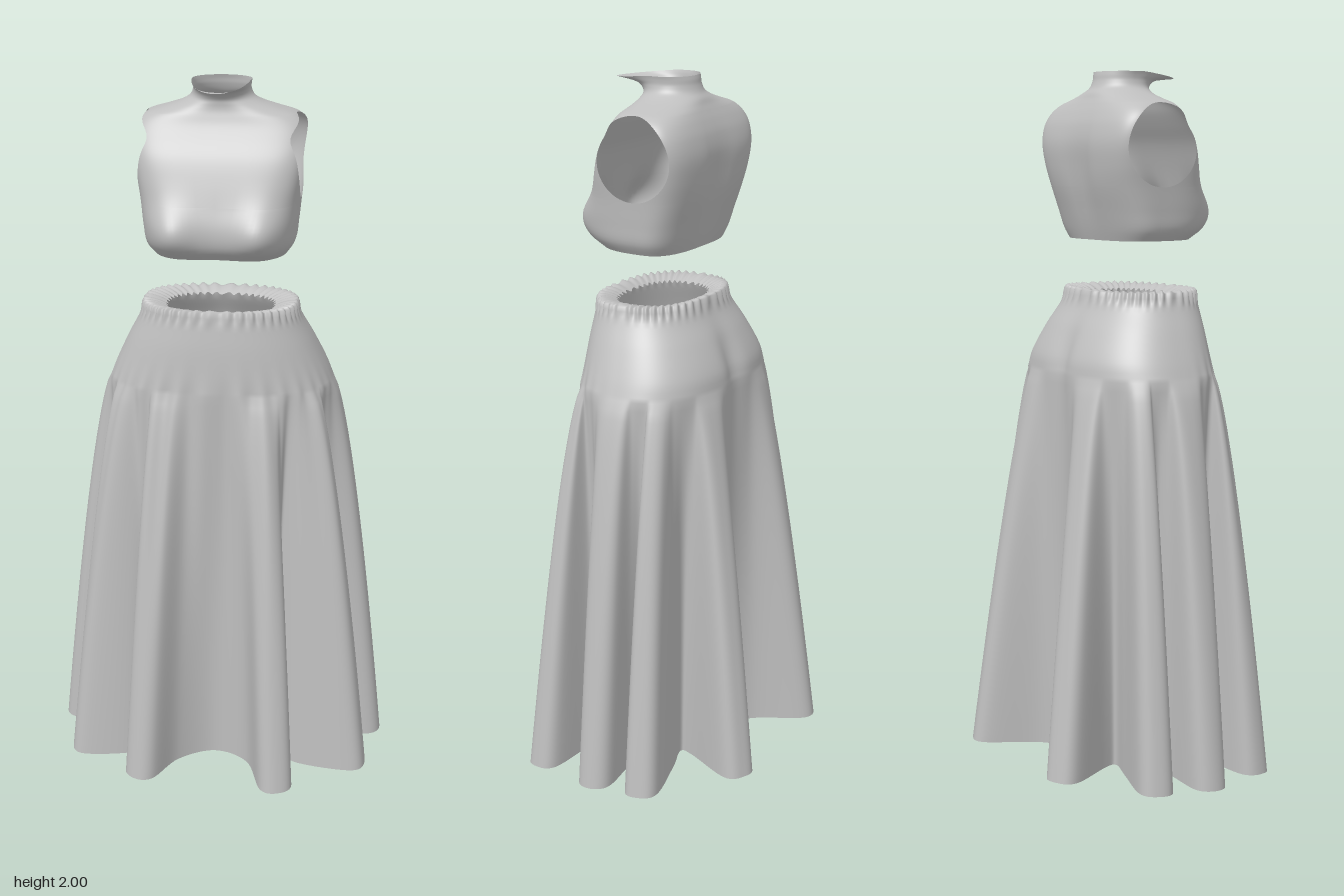
import * as THREE from 'three';
import { mergeVertices } from 'three/addons/utils/BufferGeometryUtils.js';

const fabric = new THREE.MeshStandardMaterial({ color: 0xbfbfbf, side: THREE.DoubleSide });
fabric.name = 'grey fabric';

// Smooth lookup in a table of rows [y, ...values] with rising y
function lookup(table, y) {
  let i = 0;
  while (i < table.length - 2 && y > table[i + 1][0]) i++;
  const a = table[i], b = table[i + 1];
  const p = table[Math.max(i - 1, 0)], n = table[Math.min(i + 2, table.length - 1)];
  const h = b[0] - a[0], t = THREE.MathUtils.clamp((y - a[0]) / h, 0, 1);
  return a.slice(1).map((_, j) => {
    const k = j + 1;
    const m0 = (b[k] - p[k]) / (b[0] - p[0]) * h, m1 = (n[k] - a[k]) / (n[0] - a[0]) * h;
    const t2 = t * t, t3 = t2 * t;
    return (2 * t3 - 3 * t2 + 1) * a[k] + (t3 - 2 * t2 + t) * m0 + (3 * t2 - 2 * t3) * b[k] + (t3 - t2) * m1;
  });
}

// Rows of [x, y, z] points, lowest row first, become triangles
function loftPositions(rows) {
  const out = [];
  for (let r = 0; r < rows.length - 1; r++) {
    for (let c = 0; c < rows[r].length - 1; c++) {
      const a = rows[r][c], b = rows[r][c + 1], d = rows[r + 1][c], e = rows[r + 1][c + 1];
      out.push(...a, ...d, ...b, ...b, ...d, ...e);
    }
  }
  return out;
}

function smoothMesh(name, positions) {
  let geo = new THREE.BufferGeometry();
  geo.setAttribute('position', new THREE.Float32BufferAttribute(positions, 3));
  geo = mergeVertices(geo, 1e-5);
  geo.computeVertexNormals();
  const mesh = new THREE.Mesh(geo, fabric);
  mesh.name = name;
  return mesh;
}

const spow = (v, e) => Math.sign(v) * Math.pow(Math.abs(v), e);
const bell = (v, w) => Math.exp(-(v * v) / (w * w));

// Bodice: front and back half rings, cut back around the armholes
function makeBodice() {
  // y, half width, front z, back z, squareness
  const profile = [
    [1.53, 0.188, 0.15, -0.098, 0.7],
    [1.56, 0.207, 0.178, -0.108, 0.67],
    [1.61, 0.214, 0.185, -0.123, 0.62],
    [1.68, 0.221, 0.172, -0.143, 0.54],
    [1.74, 0.229, 0.156, -0.153, 0.46],
    [1.8, 0.237, 0.134, -0.156, 0.42],
    [1.85, 0.241, 0.106, -0.146, 0.43],
    [1.885, 0.234, 0.088, -0.131, 0.5],
    [1.91, 0.207, 0.079, -0.117, 0.62],
    [1.925, 0.16, 0.075, -0.108, 0.75],
    [1.94, 0.115, 0.074, -0.1, 0.88],
    [1.955, 0.09, 0.077, -0.088, 1],
    [1.975, 0.08, 0.1, -0.079, 1],
    [1.99, 0.08, 0.15, -0.076, 1],
    [2.0, 0.082, 0.175, -0.073, 1],
  ];
  const armY = 1.795, armZ = -0.007, armR = 0.116;
  const heights = [];
  for (let i = 0; i < 14; i++) heights.push(1.53 + (armY - armR - 1.53) * i / 14);
  for (let i = 0; i <= 36; i++) heights.push(armY - armR * Math.cos(Math.PI * i / 36));
  for (let i = 1; i <= 26; i++) heights.push(armY + armR + (2 - armY - armR) * i / 26);

  const half = (front) => heights.map((y) => {
    const [w, zf, zb, e] = lookup(profile, y);
    const k = (y - armY) / armR;
    const gap = Math.abs(k) < 0.99999 ? armR * Math.sqrt(1 - k * k) : 0;
    const depth = (front ? zf : zb) - armZ;
    const start = Math.asin(Math.pow(Math.min(1, gap / Math.abs(depth)), 1 / e));
    const row = [];
    for (let i = 0; i <= 72; i++) {
      const u = THREE.MathUtils.smoothstep(i / 72, 0, 1);
      const a = start + (Math.PI - 2 * start) * u;
      const x = (front ? 1 : -1) * w * spow(Math.cos(a), e);
      const s = i % 72 === 0 && gap === 0 ? 0 : Math.pow(Math.max(0, Math.sin(a)), e);
      let z = armZ + depth * s;
      // bust and the dip along the spine
      if (front) z += 0.047 * bell(Math.abs(x) - 0.13, 0.075) * bell(y - 1.6, 0.075) * s;
      else z += 0.014 * bell(x, 0.05) * bell(y - 1.72, 0.12);
      // collar leans down at the front
      const dip = y > 1.975 ? 0.015 * Math.max(0, z - 0.03) / 0.14 * (y - 1.975) / 0.025 : 0;
      row.push([x, y - dip, z]);
    }
    return row;
  });
  return smoothMesh('bodice', [...loftPositions(half(true)), ...loftPositions(half(false))]);
}

// Skirt: hip yoke blending into a hem of ten deep folds
function makeSkirt() {
  // fold tip x, z and fold root x, z, going round from the left side to the front
  const folds = [
    [0.488, -0.015, 0.33, 0.0], [0.45, 0.195, 0.26, 0.17], [0.21, 0.375, 0.145, 0.21],
    [-0.225, 0.345, -0.145, 0.21], [-0.432, 0.195, -0.26, 0.17], [-0.488, -0.01, -0.33, 0.0],
    [-0.455, -0.18, -0.28, -0.12], [-0.23, -0.372, -0.14, -0.2],
    [0.228, -0.38, 0.14, -0.2], [0.47, -0.17, 0.28, -0.12],
  ];
  const hemPts = [], hipPts = [];
  const ringAngle = (x, z) => Math.atan2(z / 0.22, x / 0.33);
  folds.forEach(([tx, tz, bx, bz], i) => {
    const next = folds[(i + 1) % folds.length], prev = folds[(i + folds.length - 1) % folds.length];
    const dir = new THREE.Vector2(tx - bx, tz - bz).normalize();
    const px = -dir.y, pz = dir.x;
    const mid = (f) => [(bx + f[2]) * 0.425, (bz + f[3]) * 0.425];
    const valley = mid(next), before = mid(prev);
    const tip = ringAngle(tx, tz), turn = Math.PI * 2;
    const after = ((ringAngle(...valley) - tip) % turn + turn) % turn;
    const back = ((tip - ringAngle(...before)) % turn + turn) % turn;
    const add = (x, z, a) => {
      hemPts.push(new THREE.Vector3(x, 0, z));
      hipPts.push(new THREE.Vector3(Math.cos(a), 0, Math.sin(a)));
    };
    const w = 0.048;
    const sx = tx - dir.x * 0.032, sz = tz - dir.y * 0.032;
    add(bx - px * w, bz - pz * w, tip - back * 0.66);
    add(sx - px * w, sz - pz * w, tip - back * 0.33);
    add(tx, tz, tip);
    add(sx + px * w, sz + pz * w, tip + after * 0.33);
    add(bx + px * w, bz + pz * w, tip + after * 0.66);
    add(valley[0], valley[1], tip + after);
  });
  const hem = new THREE.CatmullRomCurve3(hemPts, true, 'catmullrom', 0.5);
  const hip = new THREE.CatmullRomCurve3(hipPts, true, 'catmullrom', 0.5);

  // y, half width, front z, back z
  const yoke = [
    [1.15, 0.322, 0.205, -0.218], [1.2, 0.302, 0.202, -0.21], [1.28, 0.264, 0.196, -0.172],
    [1.34, 0.232, 0.189, -0.135], [1.365, 0.222, 0.186, -0.125], [1.385, 0.218, 0.183, -0.12],
  ];
  const N = 480, samples = [];
  for (let i = 0; i < N; i++) {
    const m = hem.getPoint(i / N), h = hip.getPoint(i / N);
    samples.push({ x: m.x, z: m.z, a: Math.atan2(h.z, h.x) });
  }
  const yokePoint = (a, y, inset = 0) => {
    const [w, zf, zb] = lookup(yoke, y);
    const zc = (zf + zb) / 2, d = (zf - zb) / 2, s = Math.sin(a), c = Math.cos(a);
    // gathers at the waistband and at the front seam
    const ripple = 0.004 * Math.sin(a * 44) * THREE.MathUtils.smoothstep(y, 1.345, 1.375)
      + 0.007 * Math.sin(a * 32) * Math.max(0, s) * bell(y - 1.09, 0.08);
    const k = 1 - inset;
    const x = (w * k + ripple) * spow(c, 0.8);
    let z = zc + (d * k + ripple) * spow(s, 0.8);
    if (s < 0) z += 0.018 * bell(x, 0.045) * bell(y - 1.2, 0.09);
    return [x, y, z];
  };
  const rows = [];
  for (let r = 0; r <= 44; r++) {
    const t = 1 - r / 44;
    rows.push(samples.map(({ x, z, a }) => {
      const y = 1.15 + (0.022 - 0.055 * z - 1.15) * t;
      const p = yokePoint(a, 1.15 - 0.2 * t);
      // fold tips flare out early, most of all at the sides; valleys sink evenly
      const out = THREE.MathUtils.smoothstep(Math.hypot(x, z) - Math.hypot(p[0], p[2]), -0.02, 0.1);
      const f = Math.pow(t, 0.95 - out * (0.13 + 0.14 * Math.abs(Math.cos(a))));
      return [p[0] + (x - p[0]) * f, y, p[2] + (z - p[2]) * f];
    }));
  }
  for (let r = 1; r <= 18; r++) rows.push(samples.map(({ a }) => yokePoint(a, 1.15 + 0.235 * r / 18)));
  // gathered waist edge turned inward
  for (const [inset, dy] of [[0.03, 0.005], [0.1, 0.004], [0.2, -0.002], [0.3, -0.012]]) {
    rows.push(samples.map(({ a }) => {
      const p = yokePoint(a, 1.385, inset);
      return [p[0], 1.385 + dy + 0.003 * Math.sin(a * 44), p[2]];
    }));
  }
  rows.forEach((row) => row.push(row[0]));
  return smoothMesh('skirt', loftPositions(rows));
}

export function createModel() {
  const group = new THREE.Group();
  group.name = 'outfit';
  group.add(makeBodice(), makeSkirt());
  return group;
}
